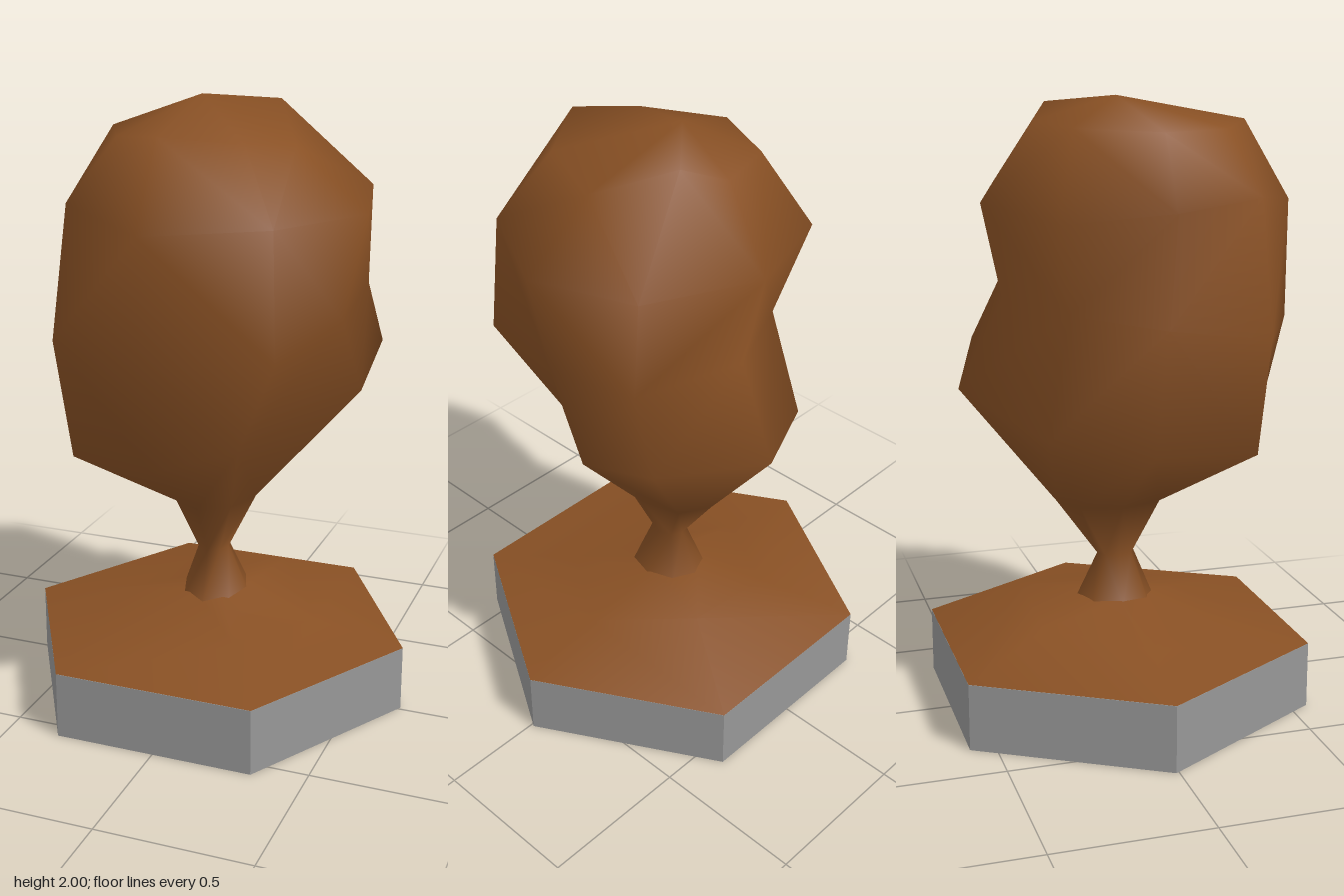
import * as THREE from 'three';

const brown = new THREE.MeshStandardMaterial({ color: 0x885024 });
brown.name = 'brown';
const grey = new THREE.MeshStandardMaterial({ color: 0x979797 });
grey.name = 'grey';

const distance = (p, q) => Math.hypot(p[0] - q[0], p[1] - q[1], p[2] - q[2]);

// Smooth skin over rings listed from bottom to top, closed by a top point.
// Ring points run from +x towards +z; each quad is cut along its shorter diagonal.
function skin(rings, top) {
  const n = rings[0].length;
  const points = [...rings.flat(), top];
  const index = [];
  for (let r = 0; r < rings.length; r++) {
    for (let i = 0; i < n; i++) {
      const a = r * n + i, b = r * n + (i + 1) % n, c = a + n, d = b + n;
      if (r === rings.length - 1) index.push(a, rings.length * n, b);
      else if (distance(points[c], points[b]) <= distance(points[a], points[d])) index.push(a, c, b, b, c, d);
      else index.push(a, c, d, a, d, b);
    }
  }
  const g = new THREE.BufferGeometry();
  g.setAttribute('position', new THREE.Float32BufferAttribute(points.flat(), 3));
  g.setIndex(index);
  g.computeVertexNormals();
  return g;
}

// Oval ring with its own centre in x and z
function oval(y, rx, rz, cx, cz, n = 8) {
  return Array.from({ length: n }, (_, i) => {
    const a = (i / n) * Math.PI * 2;
    return [cx + rx * Math.cos(a), y, cz + rz * Math.sin(a)];
  });
}

function part(name, geometry, material) {
  const m = new THREE.Mesh(geometry, material);
  m.name = name;
  return m;
}

export function createModel() {
  const group = new THREE.Group();
  group.name = 'tree';

  // Hexagonal grey base
  const base = new THREE.CylinderGeometry(0.66, 0.66, 0.22, 6);
  base.rotateY(Math.PI / 6);
  const slab = base.toNonIndexed();
  slab.computeVertexNormals();
  slab.translate(0, 0.11, -0.01);
  group.add(part('base', slab, grey));

  // Earth mound
  const inner = [[0.36, 0.28, 0], [0.17, 0.28, 0.28], [-0.17, 0.28, 0.28],
    [-0.35, 0.28, 0], [-0.17, 0.31, -0.3], [0.16, 0.35, -0.3]];
  const mound = skin([oval(0.221, 0.66, 0.66, 0, -0.01, 6), inner, oval(0.355, 0.1, 0.1, 0, -0.02, 6)], [0, 0.375, -0.02]);
  group.add(part('mound', mound, brown));

  // Trunk and lumpy crown in one skin
  const low = [[0.467, 1.065, -0.1], [0.19, 0.95, 0.3], [-0.02, 0.92, 0.49], [-0.345, 0.89, 0.36],
    [-0.412, 0.92, 0], [-0.31, 0.97, -0.31], [0.07, 1.07, -0.515], [0.458, 1.16, -0.392]];
  const middle = [[0.445, 1.33, 0.055], [0.35, 1.28, 0.43], [-0.02, 1.27, 0.577], [-0.395, 1.27, 0.38],
    [-0.33, 1.3, 0.07], [-0.25, 1.35, -0.23], [0.05, 1.36, -0.37], [0.43, 1.38, -0.29]];
  const high = [[0.515, 1.67, 0.055], [0.33, 1.67, 0.4], [-0.02, 1.66, 0.58], [-0.345, 1.7, 0.36],
    [-0.43, 1.67, 0.06], [-0.355, 1.64, -0.285], [0.04, 1.67, -0.437], [0.43, 1.7, -0.31]];
  const shoulder = [[0.28, 1.86, 0.04], [0.2, 1.89, 0.28], [-0.02, 1.92, 0.42], [-0.2, 1.9, 0.3],
    [-0.325, 1.9, 0.05], [-0.2, 1.91, -0.2], [0.02, 1.92, -0.27], [0.15, 1.975, -0.2]];
  const crown = skin([
    oval(0.325, 0.12, 0.14, 0, -0.015),
    oval(0.495, 0.052, 0.063, -0.007, -0.01),
    oval(0.685, 0.137, 0.187, 0, -0.022),
    low, middle, high, shoulder,
  ], [-0.05, 2, -0.02]);
  group.add(part('trunkAndCrown', crown, brown));

  return group;
}
